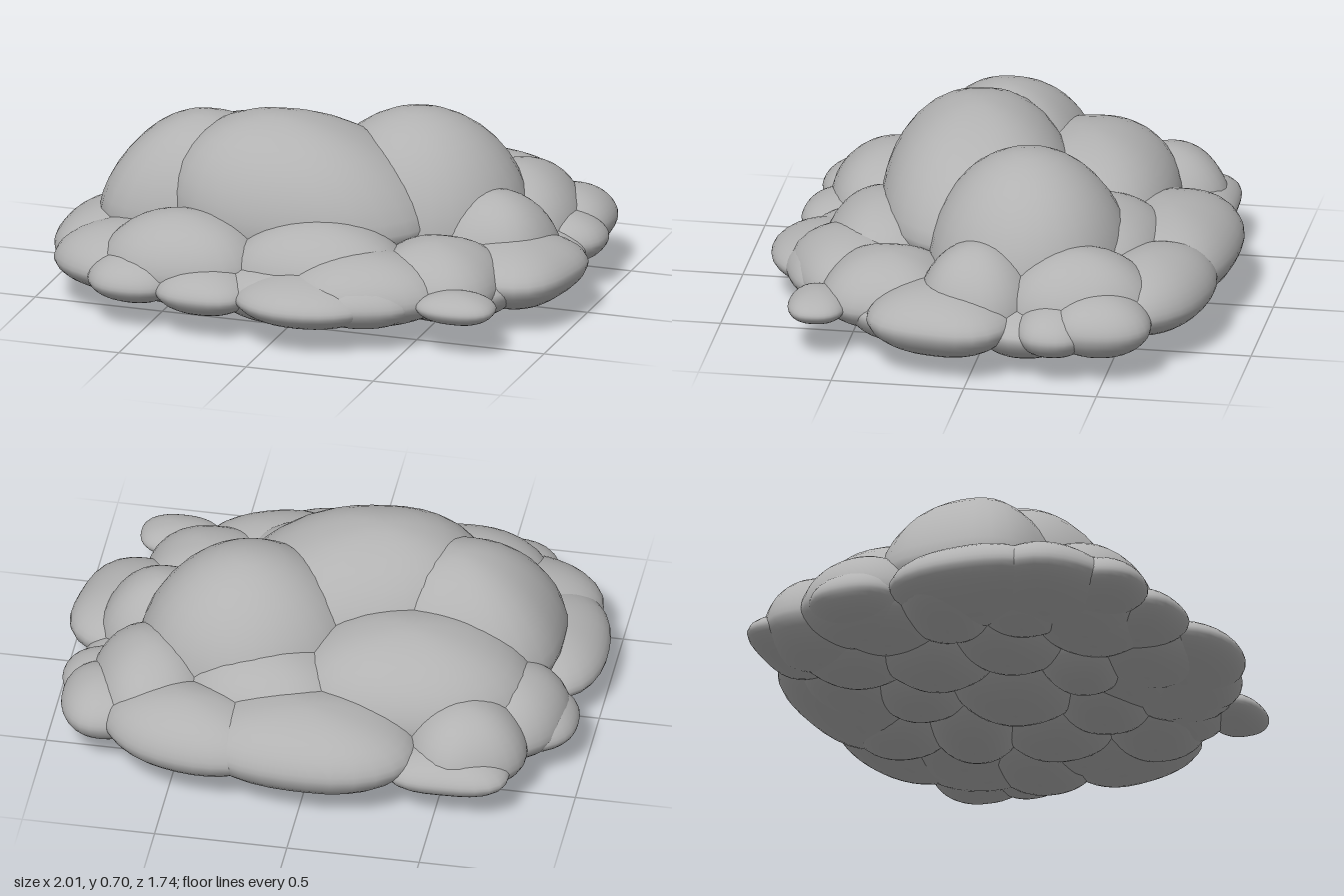
import * as THREE from 'three';
import { mergeVertices } from 'three/addons/utils/BufferGeometryUtils.js';

const cloudGrey = new THREE.MeshStandardMaterial({ color: 0xb2b2b2 });
cloudGrey.name = 'cloud grey';

// A soft puff from its bounds: plan range in x and z, bottom, widest level and top.
// yaw turns it about its centre, boxy > 2 squares the plan, leanX moves the peak.
function puff(name, [x0, x1, z0, z1, bottom, waist, top, yaw = 0, boxy = 2.3, leanX = 0]) {
  let geo = new THREE.SphereGeometry(1, 30, 20);
  geo.deleteAttribute('uv');
  geo.deleteAttribute('normal');
  geo = mergeVertices(geo, 1e-4);
  const p = geo.attributes.position;
  const v = new THREE.Vector3();
  for (let i = 0; i < p.count; i++) {
    v.fromBufferAttribute(p, i);
    const flat = Math.hypot(v.x, v.z);
    if (flat > 1e-5) {
      const norm = (Math.abs(v.x) ** boxy + Math.abs(v.z) ** boxy) ** (1 / boxy);
      const k = flat / norm;
      v.x *= k;
      v.z *= k;
    }
    // gentle dents, and a slightly pinched edge at the widest level
    const dent = 1 + 0.018 * Math.sin(4 * v.x + 9 * x0) * Math.cos(4 * v.z + 7 * z1);
    const rise = Math.sign(v.y) * Math.abs(v.y) ** 1.13;
    p.setXYZ(i, v.x * (x1 - x0) / 2 * dent + leanX * Math.max(rise, 0),
      rise * (rise > 0 ? top - waist : waist - bottom),
      v.z * (z1 - z0) / 2 * dent);
  }
  geo.computeVertexNormals();
  const mesh = new THREE.Mesh(geo, cloudGrey);
  mesh.name = name;
  mesh.position.set((x0 + x1) / 2, waist, (z0 + z1) / 2);
  mesh.rotation.y = yaw;
  return mesh;
}

// Tall billows that form the crown
const crown = [
  [-0.57, 0.44, -0.25, 0.48, 0.1, 0.33, 0.7, 0.15, 2.5, -0.1],
  [-0.86, -0.17, -0.25, 0.4, 0.1, 0.3, 0.65, 0, 2.5, 0.05],
  [-0.12, 0.71, -0.51, 0.25, 0.1, 0.27, 0.68, 0.1, 2],
  [-0.8, 0.12, -0.59, 0.06, 0.1, 0.27, 0.54, 0.1, 2.5],
  [-0.16, 0.52, -0.64, -0.1, 0.1, 0.25, 0.46, -0.1, 2.4],
];

// Mid-height puffs around the crown
const shoulders = [
  [-0.73, -0.1, 0.25, 0.73, 0.05, 0.2, 0.4],
  [-0.25, 0.45, 0.2, 0.67, 0.05, 0.2, 0.4, 0.1],
  [0.0, 0.62, 0.3, 0.76, 0.06, 0.18, 0.33, 0.3],
  [0.28, 0.78, 0.1, 0.61, 0.06, 0.18, 0.35, 0, 2.7],
  [0.4, 0.88, -0.22, 0.23, 0.06, 0.2, 0.44],
  [0.38, 0.85, -0.67, -0.08, 0.06, 0.2, 0.43, 0.2],
  [-0.42, 0.41, -0.87, -0.36, 0.06, 0.22, 0.39, 0, 2.6],
  [0.1, 0.77, -0.83, -0.4, 0.08, 0.21, 0.37, -0.25],
  [-0.82, -0.36, -0.73, -0.3, 0.06, 0.19, 0.39, 0.4],
  [-0.93, -0.5, -0.52, -0.03, 0.06, 0.19, 0.38, -0.2],
];

// Thin lens-like puffs along the rim
const rim = [
  [-1, -0.5, -0.12, 0.5, 0.06, 0.17, 0.31, 0.05, 2.6],
  [-0.93, -0.38, 0.18, 0.68, 0.06, 0.17, 0.31, -0.3],
  [-0.74, -0.38, 0.42, 0.79, 0.08, 0.165, 0.27, -0.15],
  [-0.47, -0.08, 0.46, 0.82, 0.07, 0.16, 0.25],
  [-0.15, 0.4, 0.42, 0.865, 0.07, 0.165, 0.26, 0.1],
  [0.1, 0.54, 0.42, 0.78, 0.07, 0.17, 0.28, 0.3],
  [0.54, 0.84, 0.49, 0.71, 0.12, 0.18, 0.24, 0, 2.6],
  [0.5, 1, -0.17, 0.4, 0.05, 0.19, 0.31, -0.15, 2.5],
  [0.6, 0.97, -0.46, -0.16, 0.08, 0.18, 0.28],
  [0.6, 0.945, -0.67, -0.28, 0.08, 0.2, 0.32, 0.1],
  [-0.78, -0.3, -0.78, -0.46, 0.09, 0.18, 0.27, 0, 3],
  [-0.97, -0.6, -0.45, -0.08, 0.08, 0.17, 0.28],
];

export function createModel() {
  const cloud = new THREE.Group();
  cloud.name = 'cloud';
  const addSet = (name, list) => {
    const group = new THREE.Group();
    group.name = name;
    list.forEach((b, i) => group.add(puff(`${name}Puff${i + 1}`, b)));
    cloud.add(group);
  };
  addSet('crown', crown);
  addSet('shoulder', shoulders);
  addSet('rim', rim);

  // Overlapping lumps in rings under the cloud, lowest at the middle
  const under = [[-0.27, 0.29, -0.24, 0.26, 0, 0.17, 0.3]];
  [[7, 0.4, 0.34, 0], [13, 0.7, 0.56, 0.03]].forEach(([count, rx, rz, low], ring) => {
    for (let i = 0; i < count; i++) {
      const a = (i + 0.3 * ring) / count * Math.PI * 2;
      const x = Math.cos(a) * rx, z = Math.sin(a) * rz;
      const w = 0.24 + 0.03 * Math.sin(i * 2.3), d = 0.2 + 0.025 * Math.cos(i * 1.7);
      const bottom = low + 0.014 * (1 + Math.sin(i * 2.9 + ring));
      under.push([x - w, x + w, z - d, z + d, bottom, 0.165, 0.26, 0.3 * Math.sin(i * 1.3)]);
    }
  });
  addSet('underside', under);
  return cloud;
}
